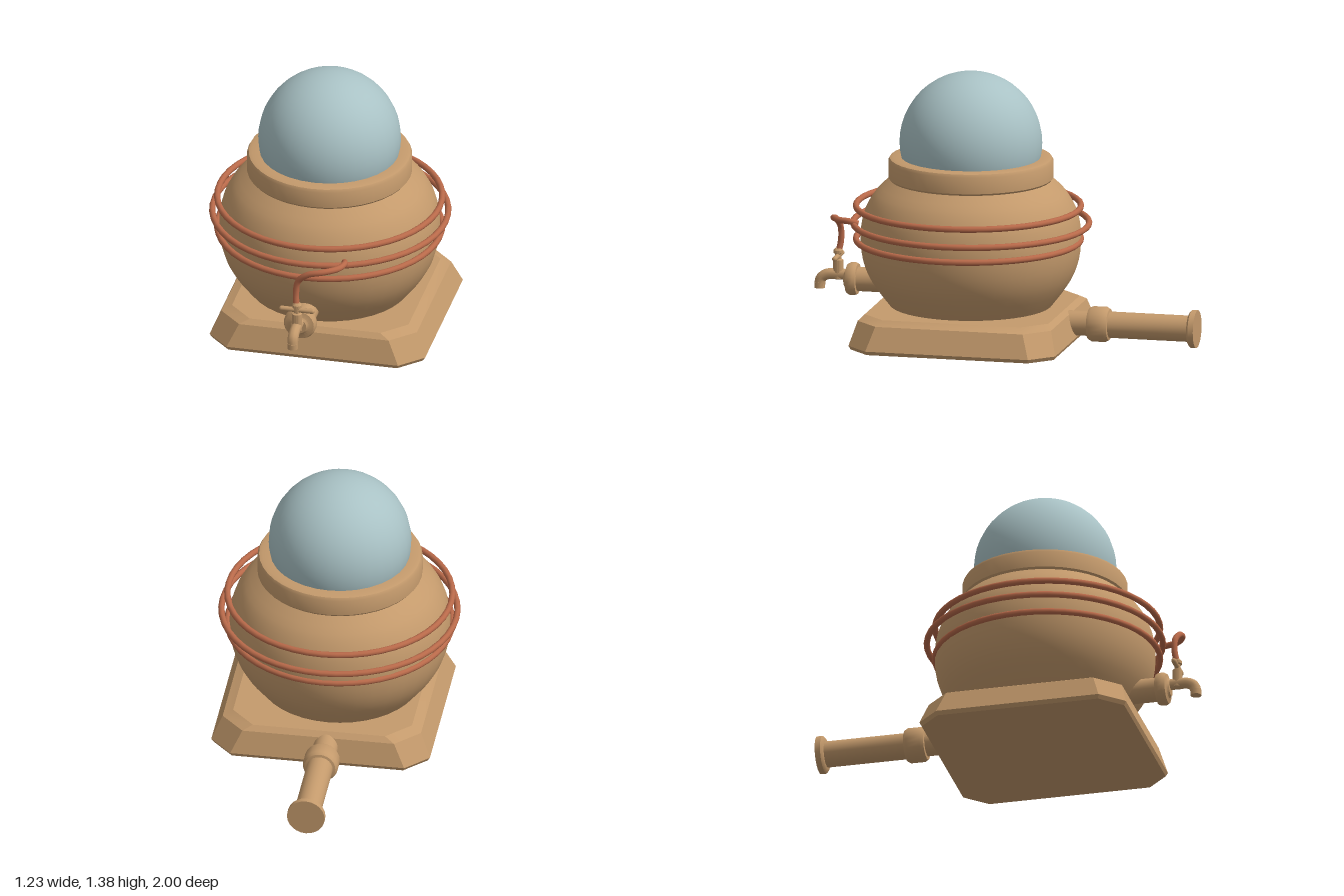
import * as THREE from 'three';
import { toCreasedNormals } from 'three/addons/utils/BufferGeometryUtils.js';

const material = (name, color, side = THREE.FrontSide) => {
  const m = new THREE.MeshStandardMaterial({ color, side });
  m.name = name;
  return m;
};

// Chamfered-corner slab lofted through levels of [y, halfX, halfZ, chamfer].
function slabGeometry(levels) {
  const pos = [];
  const rings = levels.map(([y, a, b, c]) => [
    [a, y, b - c], [a, y, c - b], [a - c, y, -b], [c - a, y, -b],
    [-a, y, c - b], [-a, y, b - c], [c - a, y, b], [a - c, y, b],
  ]);
  const tri = (...corners) => corners.forEach((p) => pos.push(...p));
  const top = rings[rings.length - 1];
  const topCentre = [0, levels[levels.length - 1][0], 0];
  for (let i = 0; i < 8; i++) {
    const j = (i + 1) % 8;
    for (let k = 0; k < rings.length - 1; k++) {
      const [lo, hi] = [rings[k], rings[k + 1]];
      tri(lo[i], lo[j], hi[j]);
      tri(lo[i], hi[j], hi[i]);
    }
    tri(topCentre, top[i], top[j]);
    tri([0, 0, 0], rings[0][j], rings[0][i]);
  }
  const g = new THREE.BufferGeometry();
  g.setAttribute('position', new THREE.Float32BufferAttribute(pos, 3));
  g.computeVertexNormals();
  return toCreasedNormals(g, 0.4);
}

export function createModel() {
  const model = new THREE.Group();
  model.name = 'dispenser';
  const tan = material('tan clay', 0xc49a6c);
  const glass = material('pale blue glass', 0xa9c2c5);
  const copper = material('copper', 0xb96a4a);
  const cx = -0.003, cz = 0.18;

  const add = (name, geometry, mat, x = 0, y = 0, z = 0, parent = model) => {
    const mesh = new THREE.Mesh(geometry, mat);
    mesh.name = name;
    mesh.position.set(x, y, z);
    parent.add(mesh);
    return mesh;
  };
  // Turned part from [radius, height] pairs, listed upwards.
  const turned = (points, segments = 32) => toCreasedNormals(
    new THREE.LatheGeometry(points.map(([r, h]) => new THREE.Vector2(r, h)), segments), 0.6);
  // Turned part lying along z.
  const turnedZ = (points, segments) => turned(points, segments).rotateX(Math.PI / 2);
  const tube = (points, radius, segments = 32) => new THREE.TubeGeometry(
    new THREE.CatmullRomCurve3(points.map((p) => new THREE.Vector3(...p))), segments, radius, 10);

  // Base
  add('base', slabGeometry([
    [0.01, 0.55, 0.53, 0.11], [0.03, 0.562, 0.54, 0.115],
    [0.15, 0.51, 0.505, 0.12], [0.175, 0.46, 0.48, 0.12],
  ]), tan, 0.028, 0, 0.165);

  // Bowl: smooth curve through the profile
  const bowl = new THREE.SplineCurve([
    [0.41, 0.17], [0.5, 0.29], [0.547, 0.4], [0.562, 0.52], [0.55, 0.62],
    [0.525, 0.69], [0.48, 0.76], [0.40, 0.835],
  ].map(([r, y]) => new THREE.Vector2(r, y)));
  add('bowl', new THREE.LatheGeometry(bowl.getPoints(20), 40), tan, cx, 0, cz);

  // Collar and dome
  add('collar', turned([
    [0.39, 0.825], [0.412, 0.825], [0.42, 0.835], [0.42, 0.92],
    [0.412, 0.935], [0.395, 0.94], [0.34, 0.94], [0.34, 0.9],
  ], 40), tan, cx, 0, cz);
  add('dome', new THREE.SphereGeometry(0.363, 32, 24), glass, cx, 1.015, cz);

  // Copper hoops
  [[0.685, 0.572, 0.192], [0.597, 0.6, 0.178], [0.513, 0.572, 0.192]].forEach(([y, r, z], i) => {
    add(`hoop${i + 1}`, new THREE.TorusGeometry(r, 0.016, 10, 48).rotateX(Math.PI / 2), copper, 0, y, z);
  });

  // Copper feed pipe curling from the middle hoop down to the tap
  add('feedPipe', tube([
    [0.2, 0.605, 0.72], [0.21, 0.617, 0.76], [0.19, 0.617, 0.82], [0.12, 0.612, 0.868],
    [0.04, 0.59, 0.872], [-0.01, 0.54, 0.862], [-0.02, 0.47, 0.862], [-0.014, 0.4, 0.875],
  ], 0.016, 48), copper);

  // Tap
  const tap = new THREE.Group();
  tap.name = 'tap';
  tap.position.x = -0.012;
  model.add(tap);
  add('tapBarrel', turnedZ([
    [0, 0.6], [0.062, 0.6], [0.062, 0.77], [0.078, 0.772], [0.084, 0.785],
    [0.084, 0.81], [0.076, 0.825], [0.05, 0.83], [0.04, 0.84], [0, 0.84],
  ], 24), tan, 0, 0.27, 0, tap);
  add('spout', tube([
    [0, 0.29, 0.8], [0, 0.29, 0.87], [0, 0.288, 0.93], [0, 0.268, 0.963], [0, 0.23, 0.972],
  ], 0.028, 20), tan, 0, 0, 0, tap);
  add('nozzle', new THREE.CylinderGeometry(0.028, 0.028, 0.03, 12), tan, 0, 0.23, 0.972, tap);
  add('stem', turned([
    [0, 0.27], [0.026, 0.27], [0.026, 0.365], [0.016, 0.37], [0.016, 0.395],
    [0.024, 0.4], [0.024, 0.415], [0.016, 0.425], [0, 0.425],
  ], 16), tan, 0, 0, 0.875, tap);
  const handle = add('handle', new THREE.CapsuleGeometry(0.013, 0.16, 4, 10), tan, 0, 0.385, 0.875, tap);
  handle.rotation.z = Math.PI / 2;

  // Rear pipe with coupling and end flange
  add('rearPipe', turnedZ([
    [0, -1], [0.097, -1], [0.097, -0.972], [0.085, -0.962], [0.067, -0.96],
    [0.067, -0.545], [0.08, -0.542], [0.09, -0.525], [0.09, -0.455],
    [0.08, -0.437], [0.063, -0.435], [0.063, -0.28], [0, -0.28],
  ], 24), tan, -0.012, 0.1, 0);

  return model;
}
